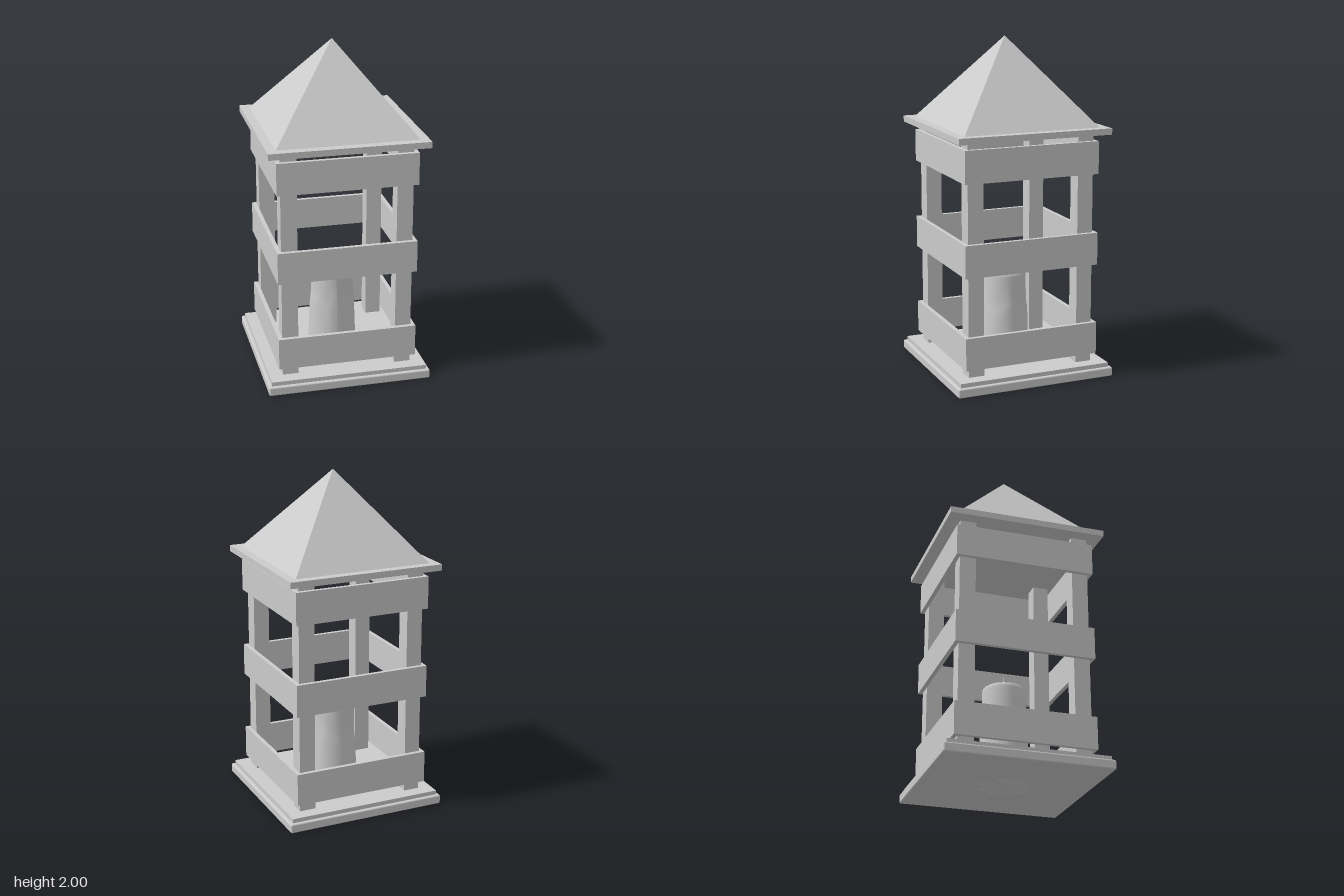
import * as THREE from 'three';
import { RoundedBoxGeometry } from 'three/addons/geometries/RoundedBoxGeometry.js';

const material = new THREE.MeshStandardMaterial({ color: 0xcccccc });

function add(parent, name, geometry, x = 0, y = 0, z = 0) {
  const mesh = new THREE.Mesh(geometry, material);
  mesh.name = name;
  mesh.position.set(x, y, z);
  parent.add(mesh);
  return mesh;
}

// Square slab centred on the axis, from y0 to y1
function slab(parent, name, half, y0, y1) {
  return add(parent, name, new THREE.BoxGeometry(half * 2, y1 - y0, half * 2), 0, (y0 + y1) / 2, 0);
}

// Open square band made of four slats
function bandGeometry(outer, inner, height) {
  const square = (h) => [[-h, -h], [h, -h], [h, h], [-h, h]].map(([x, y]) => new THREE.Vector2(x, y));
  const shape = new THREE.Shape(square(outer));
  shape.holes.push(new THREE.Path(square(inner).reverse()));
  return new THREE.ExtrudeGeometry(shape, { depth: height, bevelEnabled: false }).rotateX(-Math.PI / 2);
}

// Tapered candle whose lower part swells into uneven wax runs
function candleGeometry() {
  const profile = [
    [0, 0], [0.146, 0], [0.144, 0.08], [0.14, 0.14], [0.136, 0.22], [0.133, 0.32], [0.131, 0.37],
    [0.13, 0.4], [0.129, 0.43], [0.128, 0.5], [0.128, 0.57], [0.124, 0.588], [0.112, 0.597], [0.1, 0.598], [0, 0.595],
  ].map(([r, y]) => new THREE.Vector2(r, y));
  const geometry = new THREE.LatheGeometry(profile, 48);
  const p = geometry.attributes.position;
  for (let i = 0; i < p.count; i++) {
    const x = p.getX(i), y = p.getY(i), z = p.getZ(i);
    const r = Math.hypot(x, z);
    if (r < 0.12) continue;
    const a = Math.atan2(z, x);
    const runTop = 0.38 + 0.05 * Math.sin(a * 5) + 0.03 * Math.sin(a * 8 + 1);
    const swell = 0.005 * THREE.MathUtils.smoothstep(runTop - y, -0.01, 0.02);
    p.setXYZ(i, x * (1 + swell / r), y, z * (1 + swell / r));
  }
  geometry.computeVertexNormals();
  return geometry;
}

export function createModel() {
  const lantern = new THREE.Group();
  lantern.name = 'lantern';

  // Stepped base
  add(lantern, 'base', new RoundedBoxGeometry(0.98, 0.055, 0.98, 3, 0.009), 0, 0.0275, 0);
  slab(lantern, 'floor', 0.47, 0.05, 0.08);

  // Corner posts
  for (const x of [-1, 1]) {
    for (const z of [-1, 1]) {
      add(lantern, 'post', new THREE.BoxGeometry(0.096, 1.39, 0.096), x * 0.342, 0.765, z * 0.342);
    }
  }

  // Slat bands around the posts
  for (const y of [0.13, 0.677, 1.22]) {
    add(lantern, 'slatBand', bandGeometry(0.415, 0.39, 0.193), 0, y, 0);
  }

  // Eave and pyramid roof
  slab(lantern, 'eave', 0.47, 1.455, 1.492);
  const roof = new THREE.ConeGeometry(0.418 * Math.SQRT2, 0.51, 4, 1).toNonIndexed();
  roof.rotateY(Math.PI / 4);
  roof.computeVertexNormals();
  add(lantern, 'roof', roof, 0, 1.745, 0);

  // Candle and wick
  add(lantern, 'candle', candleGeometry());
  add(lantern, 'wick', new THREE.CylinderGeometry(0.003, 0.005, 0.1, 8), 0, 0.635, 0);

  return lantern;
}
